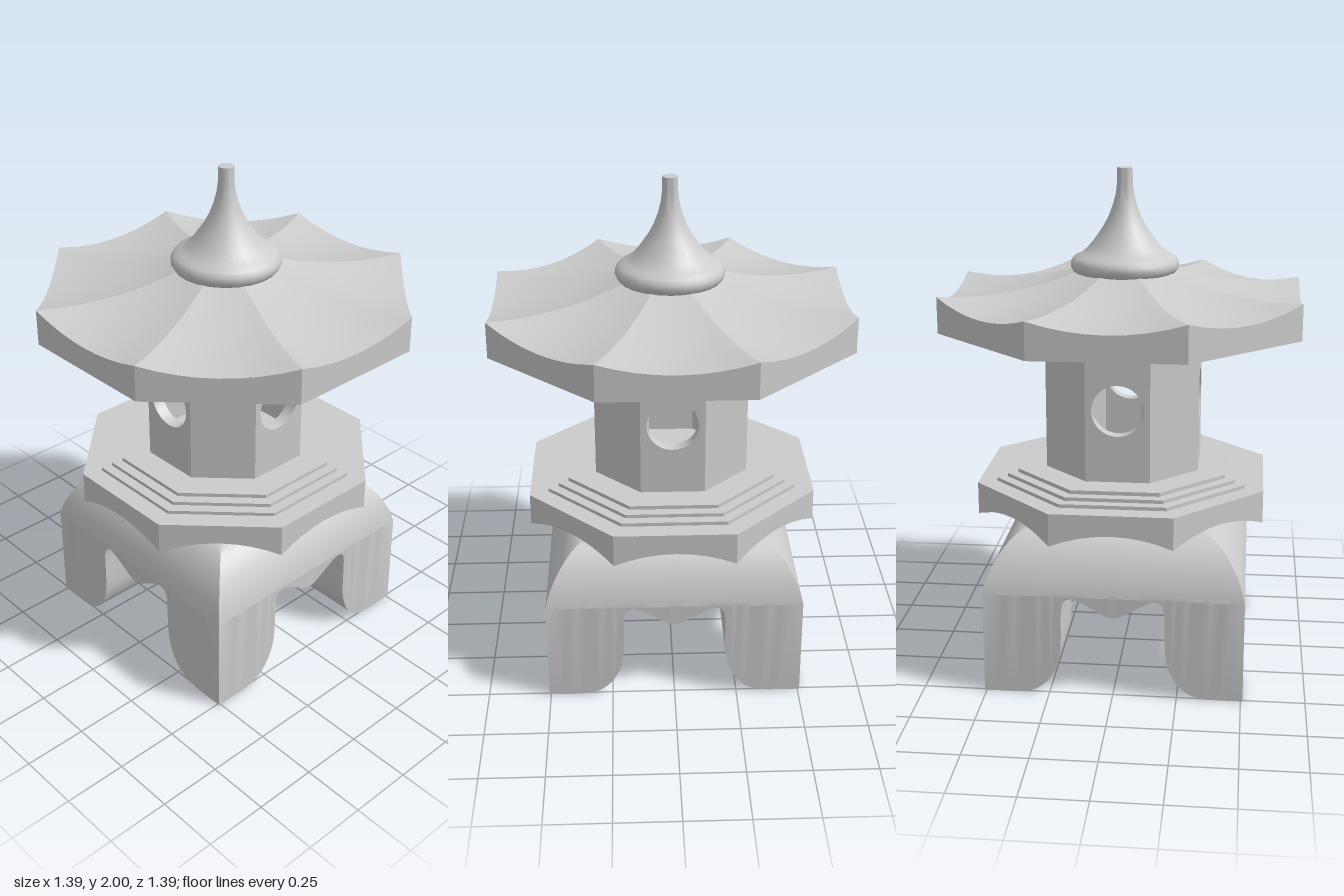
import * as THREE from 'three';
import { toCreasedNormals } from 'three/addons/utils/BufferGeometryUtils.js';

const material = new THREE.MeshStandardMaterial({ color: 0xcccccc });

function addMesh(group, name, geometry) {
  const mesh = new THREE.Mesh(geometry, material);
  mesh.name = name;
  group.add(mesh);
  return mesh;
}

function fromTriangles(points, crease) {
  const geometry = new THREE.BufferGeometry().setFromPoints(points);
  return toCreasedNormals(geometry, crease);
}

// Octagonal solid from rings [apothem, corner height, mid-side height], listed from the underside up
function octagonSolid(rings, perSide = 8) {
  const point = ([r, yCorner, yMid = yCorner], i) => {
    const side = Math.floor(i / perSide) % 8;
    const t = (i % perSide) / perSide * 2 - 1;
    const a = side * Math.PI / 4, w = r * Math.tan(Math.PI / 8) * t;
    return new THREE.Vector3(
      r * Math.sin(a) + w * Math.cos(a),
      yMid + (yCorner - yMid) * t * t,
      r * Math.cos(a) - w * Math.sin(a));
  };
  const tris = [];
  for (let j = 0; j < rings.length - 1; j++) {
    for (let i = 0; i < 8 * perSide; i++) {
      const a = point(rings[j], i), b = point(rings[j], i + 1);
      const c = point(rings[j + 1], i + 1), d = point(rings[j + 1], i);
      if (rings[j][0] > 0) tris.push(a, b, d);
      if (rings[j + 1][0] > 0) tris.push(b, c, d);
      // close fans at the axis
      if (rings[j][0] === 0) tris.push(a, c, d);
      if (rings[j + 1][0] === 0) tris.push(a, b, c);
    }
  }
  return fromTriangles(tris.map(p => p.clone()), 0.2);
}

// Smooth half profile of (x, y), mirrored to run from -x to +x
function mirroredProfile(points) {
  const curve = new THREE.CatmullRomCurve3(
    points.map(([x, y]) => new THREE.Vector3(x, y, 0)), false, 'centripetal');
  const half = curve.getPoints((points.length - 1) * 3);
  half.forEach(p => { p.y = Math.max(0, p.y); });
  const left = half.slice(1).reverse().map(p => new THREE.Vector3(-p.x, p.y, 0));
  return [...left, ...half];
}

// Four-legged base: one arch profile crossed with itself at right angles
function baseGeometry() {
  const shoulder = 0.41;
  const top = mirroredProfile([[0, 0.65], [0.15, 0.65], [0.28, 0.647], [0.37, 0.628],
    [0.42, 0.59], [0.465, 0.527], [0.495, 0.46], [0.508, shoulder]]);
  const under = mirroredProfile([[0, 0.33], [0.025, 0.335], [0.08, 0.365], [0.13, 0.393],
    [0.165, 0.402], [0.19, 0.39], [0.2, 0.355], [0.203, 0.2], [0.215, 0.13],
    [0.25, 0.06], [0.305, 0.015], [0.38, 0], [0.508, 0]]);
  const tris = [];
  const sheet = (profile, pick, facingUp) => {
    const v = (p, q) => new THREE.Vector3(p.x, pick(p.y, q.y), q.x);
    for (let i = 0; i < profile.length - 1; i++) {
      for (let j = 0; j < profile.length - 1; j++) {
        const [p, p1, q, q1] = [profile[i], profile[i + 1], profile[j], profile[j + 1]];
        const a = v(p, q), b = v(p, q1), c = v(p1, q1), d = v(p1, q);
        const sameSign = (p.x + p1.x) * (q.x + q1.x) > 0;
        const quad = sameSign ? [a, b, c, a, c, d] : [a, b, d, b, c, d];
        tris.push(...(facingUp ? quad : quad.reverse()));
      }
    }
  };
  sheet(top, Math.min, true);
  sheet(under, Math.max, false);
  // upright outer faces
  const up = new THREE.Vector3(0, 1, 0);
  for (let k = 0; k < 4; k++) {
    for (let i = 0; i < under.length - 1; i++) {
      const v = (x, y) => new THREE.Vector3(x, y, 0.508).applyAxisAngle(up, k * Math.PI / 2);
      const p = under[i], q = under[i + 1];
      const a = v(p.x, p.y), b = v(q.x, q.y), c = v(q.x, shoulder), d = v(p.x, shoulder);
      tris.push(a, b, c, a, c, d);
    }
  }
  return fromTriangles(tris, 0.7);
}

// Flat wall of the light chamber, optionally pierced by a round window
function wallGeometry(apothem, y0, y1, thickness, pierced) {
  const w = apothem * Math.tan(Math.PI / 8);
  const shape = new THREE.Shape([
    new THREE.Vector2(-w, y0), new THREE.Vector2(w, y0),
    new THREE.Vector2(w, y1), new THREE.Vector2(-w, y1)]);
  if (pierced) {
    shape.holes.push(new THREE.Path().absarc(0, 1.102, 0.102, 0, Math.PI * 2, true));
  }
  const geometry = new THREE.ExtrudeGeometry(shape,
    { depth: thickness, bevelEnabled: false, curveSegments: 16 });
  geometry.translate(0, 0, apothem - thickness);
  return toCreasedNormals(geometry, 0.6);
}

export function createModel() {
  const lantern = new THREE.Group();
  lantern.name = 'stoneLantern';

  addMesh(lantern, 'leggedBase', baseGeometry());

  // Platform with scalloped underside and stepped top
  addMesh(lantern, 'platform', octagonSolid([
    [0, 0.645], [0.34, 0.645], [0.42, 0.643, 0.655], [0.5, 0.642, 0.672], [0.568, 0.642, 0.69],
    [0.568, 0.772], [0.495, 0.772], [0.495, 0.786], [0.455, 0.786],
    [0.455, 0.8], [0.415, 0.8], [0.415, 0.815], [0, 0.815]]));

  // Light chamber, windows on the four main sides
  const chamber = new THREE.Group();
  chamber.name = 'lightChamber';
  lantern.add(chamber);
  for (let k = 0; k < 8; k++) {
    const wall = addMesh(chamber, k % 2 ? 'plainWall' : 'windowWall',
      wallGeometry(0.305, 0.81, 1.395, 0.05, k % 2 === 0));
    wall.rotation.y = k * Math.PI / 4;
  }

  // Roof with upturned corners
  addMesh(lantern, 'roof', octagonSolid([
    [0, 1.39], [0.695, 1.39], [0.695, 1.532, 1.488], [0.62, 1.527, 1.492], [0.54, 1.527, 1.502],
    [0.46, 1.534, 1.516], [0.38, 1.545, 1.533], [0.3, 1.563, 1.555],
    [0.22, 1.587, 1.583], [0.15, 1.612], [0, 1.63]]));

  // Finial
  const finialProfile = [[0, 1.585], [0.18, 1.587], [0.203, 1.597], [0.215, 1.618], [0.213, 1.638],
    [0.2, 1.655], [0.175, 1.666], [0.15, 1.687], [0.125, 1.715], [0.088, 1.768], [0.065, 1.81],
    [0.047, 1.857], [0.036, 1.9], [0.031, 1.94], [0.03, 2], [0, 2]];
  addMesh(lantern, 'finial', toCreasedNormals(new THREE.LatheGeometry(
    finialProfile.map(([r, y]) => new THREE.Vector2(r, y)), 24), 0.9));

  return lantern;
}
